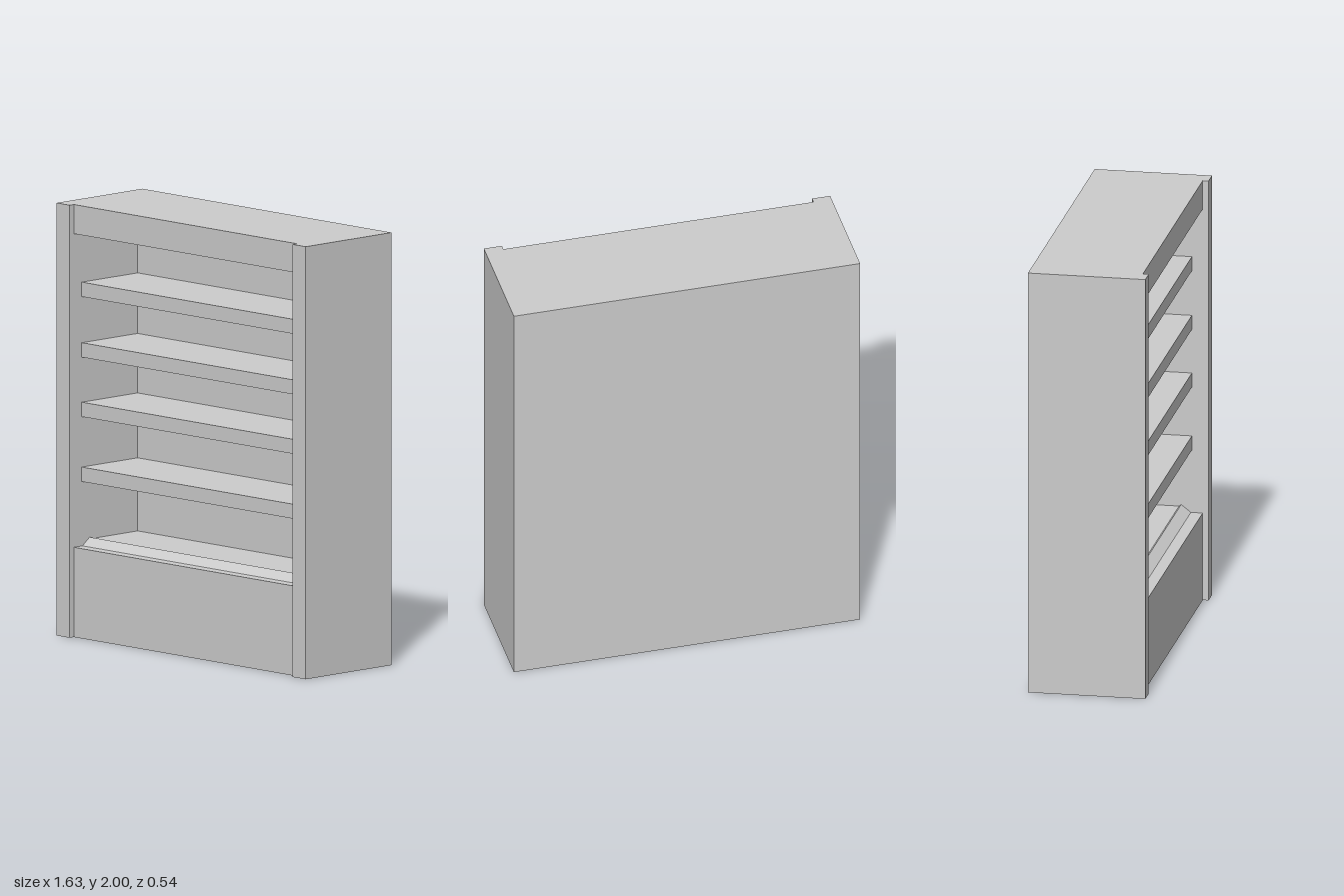
import * as THREE from 'three';

const WIDTH = 1.63, INNER = 1.46, BACK = -0.272, FRONT = 0.272, FACE = 0.245, REAR_WALL = -0.16;

export function createModel() {
  const model = new THREE.Group();
  model.name = 'openDisplayCabinet';
  const material = new THREE.MeshStandardMaterial({ color: 0xcccccc, flatShading: true });

  // Box given by its limits on each axis
  const box = (name, [x0, x1], [y0, y1], [z0, z1], parent = model) => {
    const mesh = new THREE.Mesh(new THREE.BoxGeometry(x1 - x0, y1 - y0, z1 - z0), material);
    mesh.position.set((x0 + x1) / 2, (y0 + y1) / 2, (z0 + z1) / 2);
    mesh.name = name;
    parent.add(mesh);
    return mesh;
  };
  const inside = [-INNER / 2, INNER / 2];

  // Side walls, standing slightly proud of the front
  box('leftSide', [INNER / 2, WIDTH / 2], [0, 2], [BACK, FRONT]);
  box('rightSide', [-WIDTH / 2, -INNER / 2], [0, 2], [BACK, FRONT]);

  // Rear wall and top header
  box('rearWall', inside, [0, 2], [BACK, REAR_WALL]);
  box('header', inside, [1.865, 2], [REAR_WALL, FACE]);

  // Base: side profile (z, y) with a sloped lip at the front of the deck
  const profile = new THREE.Shape([
    [REAR_WALL, 0], [FACE, 0], [FACE, 0.415], [0.19, 0.415], [0.145, 0.45],
    [0.135, 0.442], [REAR_WALL, 0.442],
  ].map(([z, y]) => new THREE.Vector2(-z, y)));
  const baseGeometry = new THREE.ExtrudeGeometry(profile, { depth: INNER, bevelEnabled: false });
  baseGeometry.rotateY(Math.PI / 2).translate(-INNER / 2, 0, 0);
  const base = new THREE.Mesh(baseGeometry, material);
  base.name = 'base';
  model.add(base);

  // Shelves, each with a deeper front rail
  for (const top of [1.635, 1.355, 1.08, 0.78]) {
    const shelf = new THREE.Group();
    shelf.name = 'shelf';
    box('shelfBoard', inside, [top - 0.035, top], [REAR_WALL, 0.18], shelf);
    box('shelfRail', inside, [top - 0.067, top], [0.18, 0.195], shelf);
    model.add(shelf);
  }

  // Small control box under the header
  box('controlBox', [-INNER / 2, -0.525], [1.8, 1.865], [REAR_WALL, -0.06]);

  return model;
}
